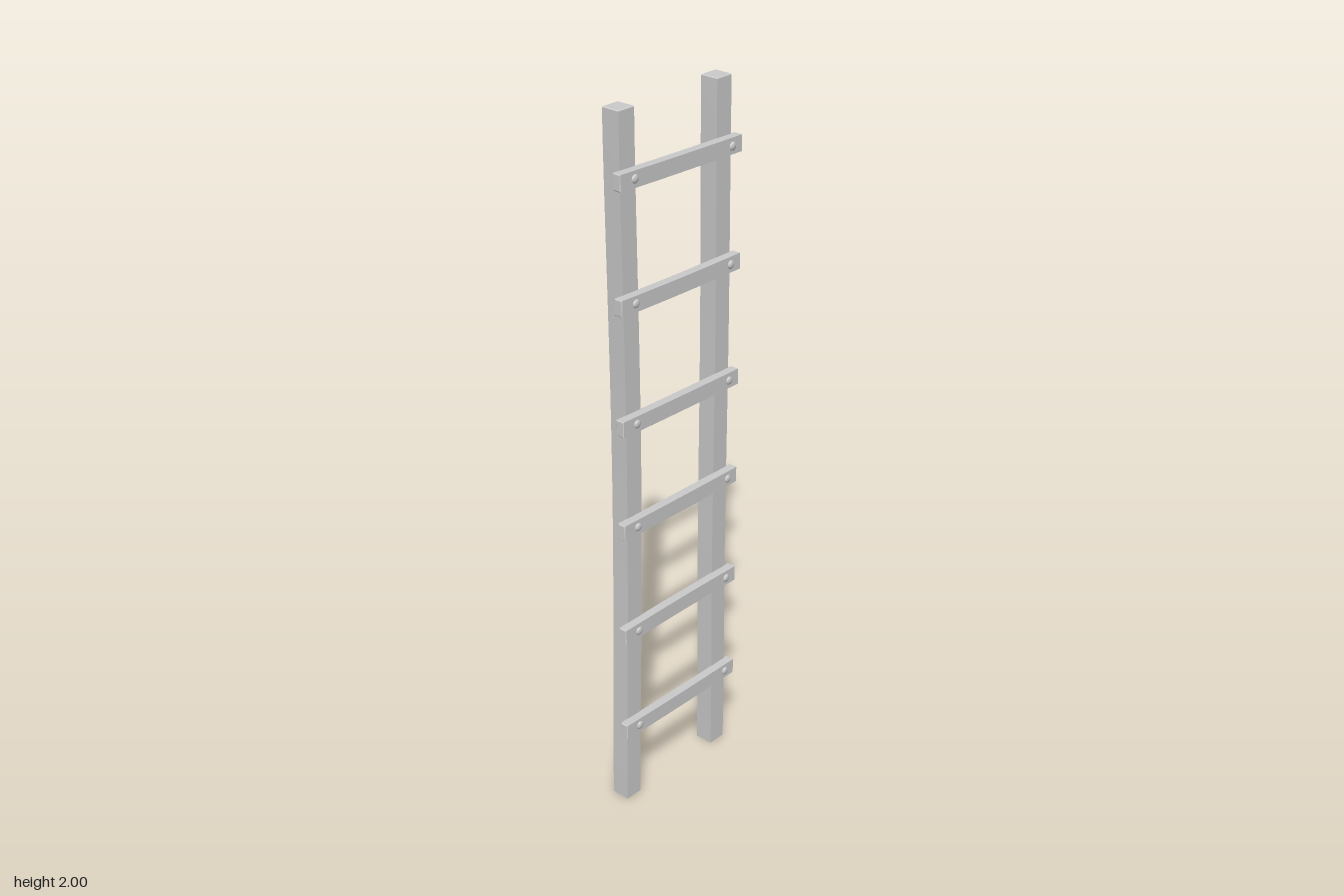
import * as THREE from 'three';
import { toCreasedNormals } from 'three/addons/utils/BufferGeometryUtils.js';

const material = new THREE.MeshStandardMaterial({ color: 0xcccccc });

// Chamfered square timber, centred, running along z, with spare cross-sections for bending
function beam(w, h, length, chamfer, steps, bend) {
  const x = w / 2 - chamfer, y = h / 2 - chamfer;
  const s = new THREE.Shape([[-x, -y], [x, -y], [x, y], [-x, y]].map(p => new THREE.Vector2(...p)));
  const g = new THREE.ExtrudeGeometry(s, {
    depth: length - 2 * chamfer, steps, bevelEnabled: true,
    bevelSize: chamfer, bevelThickness: chamfer, bevelSegments: 1,
  });
  g.translate(0, 0, chamfer - length / 2);
  const p = g.attributes.position;
  for (let i = 0; i < p.count; i++) {
    const [dx, dy] = bend(p.getZ(i) / (length / 2));
    p.setXY(i, p.getX(i) + dx, p.getY(i) + dy);
  }
  return toCreasedNormals(g, 0.5);
}

export function createModel() {
  const group = new THREE.Group();
  const add = (name, geometry, x, y, z) => {
    const mesh = new THREE.Mesh(geometry, material);
    mesh.name = name;
    mesh.position.set(x, y, z);
    group.add(mesh);
    return mesh;
  };

  // Uprights: the right one bows inward, the left one only wavers
  const rails = [
    ['rightRail', -0.175, t => [0.014 * Math.cos(t * Math.PI / 2) ** 1.5, 0]],
    ['leftRail', 0.179, t => [0.0015 * Math.sin(t * 5), 0]],
  ];
  for (const [name, x, bend] of rails) {
    const g = beam(0.054, 0.053, 2, 0.003, 24, bend);
    g.rotateX(-Math.PI / 2);
    add(name, g, x, 1, -0.0155);
  }

  // Rungs nailed across the front, each with its own slight tilt and sag
  const rungs = [
    [0.252, 0.000, 0.002], [0.562, 0.002, -0.002], [0.88, 0.000, 0.001],
    [1.178, -0.002, 0.001], [1.508, -0.002, 0.002], [1.827, -0.004, 0.001],
  ];
  const nail = new THREE.SphereGeometry(0.012, 12, 6, 0, Math.PI * 2, 0, Math.PI / 2);
  nail.scale(1, 0.5, 1);
  nail.rotateX(Math.PI / 2);
  rungs.forEach(([y, tilt, sag], i) => {
    const g = beam(0.025, 0.044, 0.446, 0.002, 8,
      t => [0, tilt * t - sag * Math.cos(t * Math.PI / 2)]);
    g.rotateY(Math.PI / 2);
    add(`rung${i + 1}`, g, -0.001, y, 0.0225);
    // Domed nail heads
    for (const x of [-0.173, 0.184]) add('nailHead', nail, x, y + tilt * Math.sign(x), 0.0345);
  });
  return group;
}
